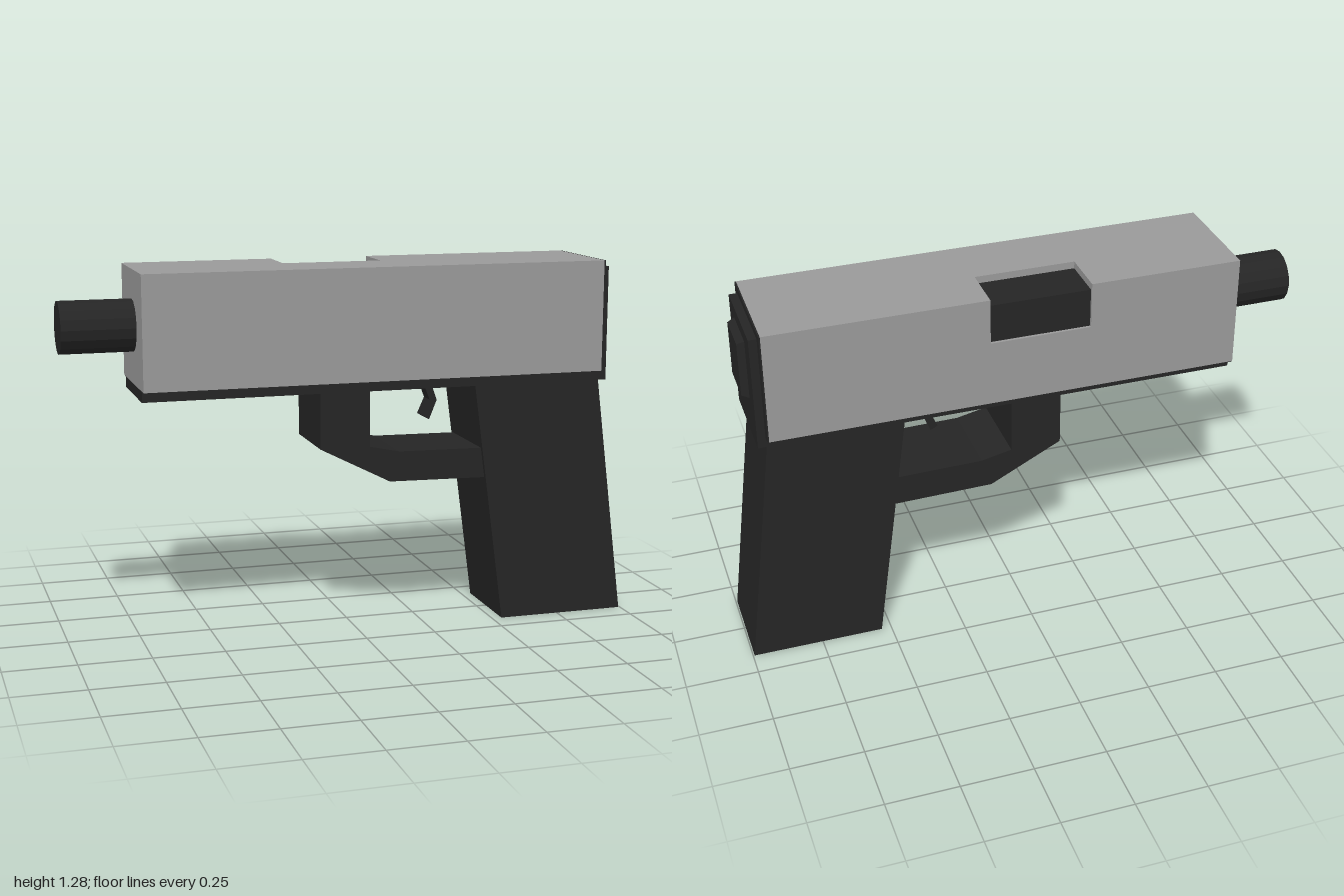
import * as THREE from 'three';

const grey = new THREE.MeshStandardMaterial({ color: 0x999999, flatShading: true });
const dark = new THREE.MeshStandardMaterial({ color: 0x252525, flatShading: true });

export function createModel() {
  const model = new THREE.Group();

  const add = (name, geometry, material) => {
    const mesh = new THREE.Mesh(geometry, material);
    mesh.name = name;
    model.add(mesh);
    return mesh;
  };
  // Box from its extents
  const box = (name, x0, x1, y0, y1, z0, z1, material) =>
    add(name, new THREE.BoxGeometry(x1 - x0, y1 - y0, z1 - z0), material)
      .position.set((x0 + x1) / 2, (y0 + y1) / 2, (z0 + z1) / 2);
  // Side profile extruded across z
  const plate = (name, points, z0, z1, material) => {
    const shape = new THREE.Shape(points.map(([x, y]) => new THREE.Vector2(x, y)));
    const geometry = new THREE.ExtrudeGeometry(shape, { depth: z1 - z0, bevelEnabled: false });
    geometry.translate(0, 0, z0);
    return add(name, geometry, material);
  };

  // Slide: plain half, and a half with the notch cut through its upper edge
  box('slideFrontHalf', -0.75, 0.882, 0.89, 1.28, -0.025, 0.195, grey);
  plate('slideNotchedHalf', [
    [-0.75, 0.89], [0.882, 0.89], [0.882, 1.28], [0.13, 1.28],
    [0.13, 1.12], [-0.22, 1.12], [-0.22, 1.28], [-0.75, 1.28],
  ], -0.195, -0.025, grey);

  // Dark core seen in the notch, and the dark rear and underside of the slide
  box('slideCore', -0.73, 0.88, 0.9, 1.255, -0.185, 0.185, dark);
  box('slideRear', 0.882, 0.887, 0.887, 1.28, -0.195, 0.195, dark);
  box('slideUnderside', -0.748, 0.882, 0.887, 0.892, -0.194, 0.194, dark);

  // Frame rail below the slide and the block behind it
  box('frameRail', -0.75, 0.915, 0.852, 0.889, -0.16, 0.16, dark);
  box('rearBlock', 0.885, 0.915, 0.852, 1.255, -0.16, 0.16, dark);

  // Rear panel with a chamfered edge
  const panel = new THREE.CylinderGeometry(0.076 * Math.SQRT2, 0.084 * Math.SQRT2, 0.025, 4);
  panel.rotateY(Math.PI / 4).rotateZ(-Math.PI / 2).scale(1, 1.25, 1);
  add('rearPanel', panel, dark).position.set(0.9275, 1.105, 0);

  // Barrel
  const barrel = new THREE.CylinderGeometry(0.09, 0.09, 0.3, 16);
  barrel.rotateZ(Math.PI / 2);
  add('barrel', barrel, dark).position.set(-0.85, 1.09, 0);

  // Grip, guard and trigger
  plate('grip', [[0.535, 0], [0.995, 0], [0.885, 0.86], [0.42, 0.86]], -0.16, 0.16, dark);
  plate('triggerGuard', [
    [-0.135, 0.86], [-0.135, 0.655], [0.115, 0.527], [0.49, 0.52],
    [0.49, 0.627], [0.15, 0.632], [0.042, 0.655], [0.042, 0.86],
  ], -0.145, 0.145, dark);
  plate('trigger', [
    [0.27, 0.86], [0.298, 0.788], [0.272, 0.73], [0.297, 0.717], [0.325, 0.786], [0.298, 0.86],
  ], -0.03, 0.03, dark);

  return model;
}
